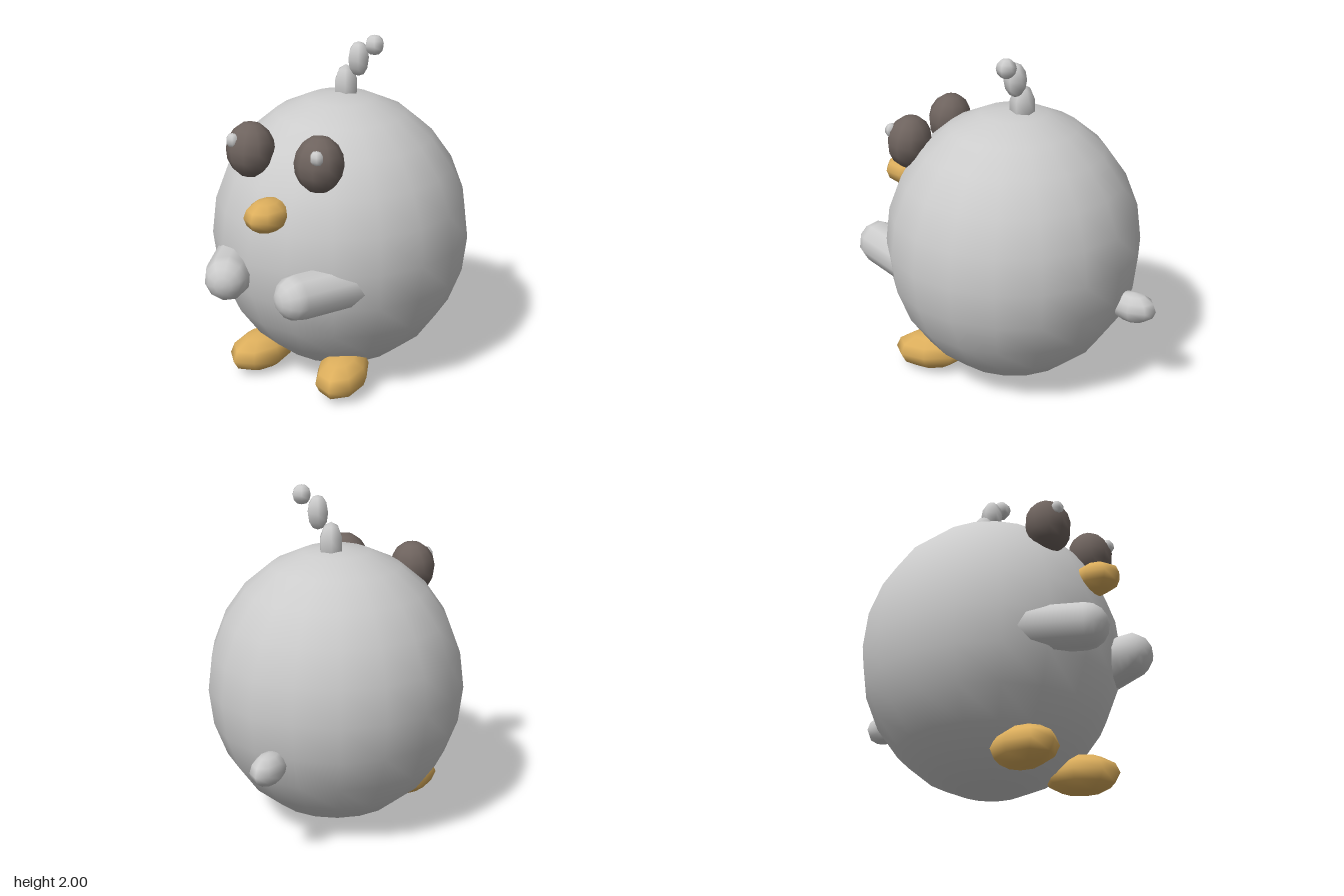
import * as THREE from 'three';

const paint = (color) => new THREE.MeshStandardMaterial({ color });

export function createModel() {
  const model = new THREE.Group();
  const grey = paint(0xcccccc);
  const dark = paint(0x6e635e);
  const gold = paint(0xdcae5c);

  // Low-segment, smooth-shaded ellipsoid
  function blob(name, material, [w, h], radii, position, rotation = [0, 0, 0]) {
    const mesh = new THREE.Mesh(new THREE.SphereGeometry(1, w, h), material);
    mesh.name = name;
    mesh.scale.set(...radii);
    mesh.position.set(...position);
    mesh.rotation.set(...rotation);
    model.add(mesh);
    return mesh;
  }

  // Round body, beak and tail
  blob('body', grey, [18, 12], [0.755, 0.825, 0.755], [0, 0.83, 0]);
  blob('beak', gold, [8, 6], [0.115, 0.092, 0.152], [0, 1.14, 0.725]);
  blob('tail', grey, [8, 6], [0.088, 0.092, 0.14], [0, 0.57, -0.78]);

  // Curling tuft on the head
  blob('tuftBase', grey, [6, 5], [0.075, 0.135, 0.075], [0, 1.67, -0.055]);
  blob('tuftMiddle', grey, [6, 6], [0.066, 0.1, 0.066], [0.085, 1.85, -0.055]);
  blob('tuftTip', grey, [6, 6], [0.058, 0.058, 0.058], [0.19, 1.943, -0.055]);

  // Paired parts
  for (const [side, s] of [['left', 1], ['right', -1]]) {
    blob(side + 'Eye', dark, [10, 8], [0.14, 0.158, 0.13], [s * 0.228, 1.427, 0.56], [-0.1, 0, 0]);
    blob(side + 'EyeHighlight', grey, [6, 5], [0.042, 0.042, 0.035], [s * 0.277, 1.495, 0.655]);
    blob(side + 'Foot', gold, [8, 6], [0.148, 0.115, 0.225], [s * 0.285, 0.12, 0.42], [0.06, s * 0.22, 0]);

    // Rounded wing, reaching forward and inward from the flank
    const length = 0.4;
    const wing = new THREE.Mesh(new THREE.CapsuleGeometry(0.13, length, 4, 10), grey);
    wing.name = side + 'Wing';
    const inward = new THREE.Vector3(-s * 0.43, 0, 0.9).normalize();
    wing.quaternion.setFromUnitVectors(new THREE.Vector3(0, 1, 0), inward);
    wing.position.set(s * 0.238, 0.738, 0.79).addScaledVector(inward, -length / 2);
    model.add(wing);
  }
  return model;
}
